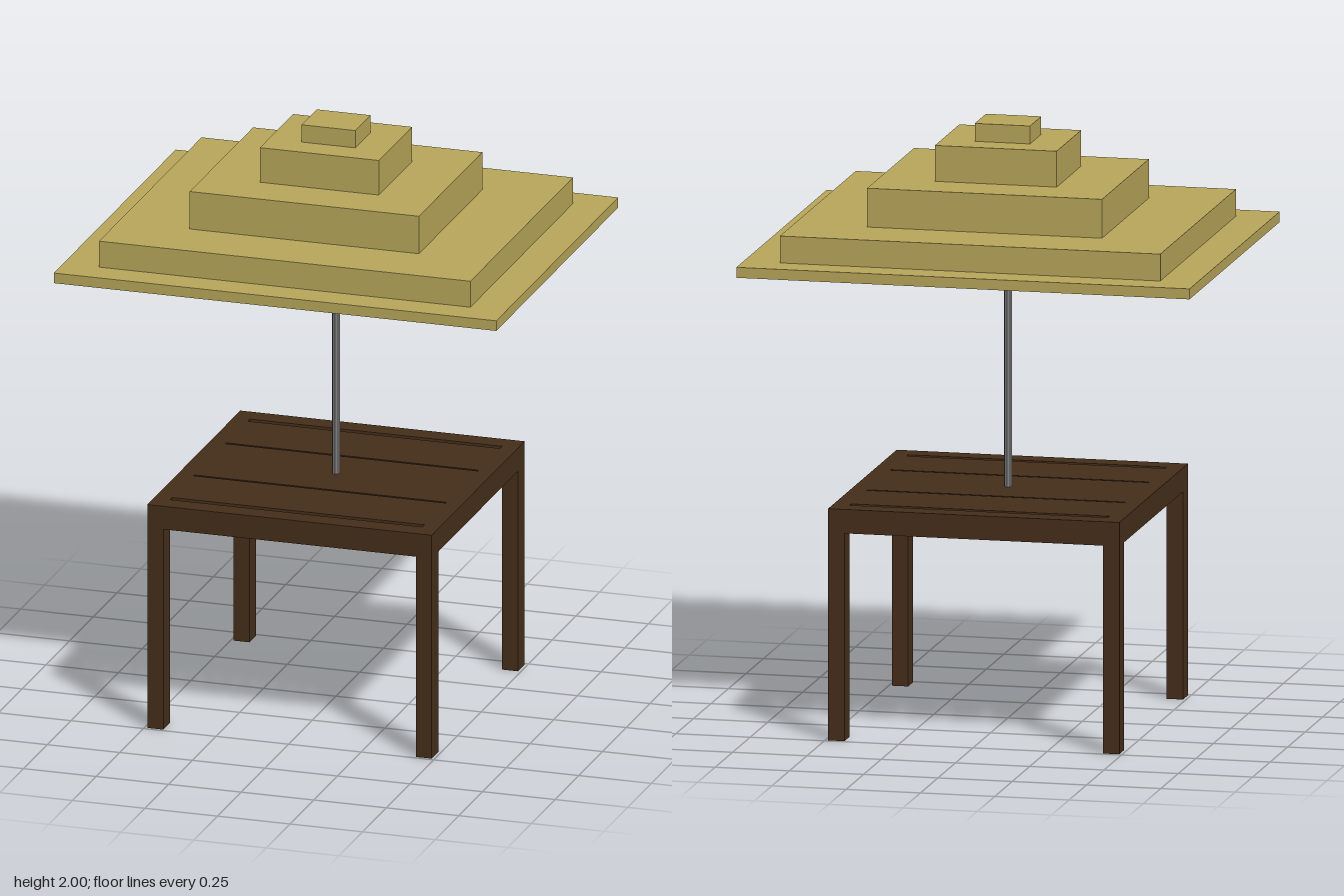
import * as THREE from 'three';

const fabric = new THREE.MeshStandardMaterial({ color: 0xb8a65a });
const wood = new THREE.MeshStandardMaterial({ color: 0x452e1a });
const metal = new THREE.MeshStandardMaterial({ color: 0x808080, flatShading: true });

function add(parent, name, geometry, material) {
  const mesh = new THREE.Mesh(geometry, material);
  mesh.name = name;
  parent.add(mesh);
  return mesh;
}

// Box given by its centre in plan, half sizes and bottom/top heights
function block(parent, name, material, x, z, hx, hz, y0, y1) {
  add(parent, name, new THREE.BoxGeometry(2 * hx, y1 - y0, 2 * hz), material)
    .position.set(x, (y0 + y1) / 2, z);
}

function rect(path, hx, hz) {
  return path.moveTo(-hx, -hz).lineTo(hx, -hz).lineTo(hx, hz).lineTo(-hx, hz).closePath();
}

// Rectangular ring with a rectangular opening
function frame(parent, name, material, hx, hz, ix, iz, y0, y1) {
  const shape = rect(new THREE.Shape(), hx, hz);
  shape.holes.push(rect(new THREE.Path(), ix, iz));
  const geometry = new THREE.ExtrudeGeometry(shape, { depth: y1 - y0, bevelEnabled: false });
  geometry.rotateX(-Math.PI / 2).translate(0, y0, 0);
  add(parent, name, geometry, material);
}

export function createModel() {
  const model = new THREE.Group();
  model.name = 'parasolTable';

  // Table: open frame, slatted top and four legs
  const table = new THREE.Group();
  table.name = 'table';
  model.add(table);
  frame(table, 'tableFrame', wood, 0.49, 0.49, 0.435, 0.42, 0.695, 0.775);
  const slats = [[-0.285, 0.113], [0, 0.163], [0.285, 0.113]];
  for (const [z, hz] of slats) block(table, 'slat', wood, 0, z, 0.436, hz, 0.752, 0.775);
  for (const sx of [-1, 1])
    for (const sz of [-1, 1])
      block(table, 'leg', wood, sx * 0.4625, sz * 0.455, 0.0275, 0.035, 0, 0.695);

  // Pole from the table top to the canopy ceiling
  add(model, 'pole', new THREE.CylinderGeometry(0.013, 0.013, 0.887, 8), metal)
    .position.y = 1.1965;

  // Stepped canopy, hollow underneath
  const canopy = new THREE.Group();
  canopy.name = 'canopy';
  model.add(canopy);
  frame(canopy, 'canopyRim', fabric, 0.7625, 0.643, 0.595, 0.478, 1.565, 1.6);
  frame(canopy, 'canopyWall', fabric, 0.64, 0.541, 0.595, 0.478, 1.6, 1.64);
  const tiers = [
    [0.64, 0.541, 1.64, 1.69],
    [0.395, 0.334, 1.69, 1.82],
    [0.205, 0.175, 1.82, 1.94],
    [0.093, 0.08, 1.94, 2],
  ];
  for (const [hx, hz, y0, y1] of tiers) block(canopy, 'canopyTier', fabric, 0, 0, hx, hz, y0, y1);

  return model;
}
